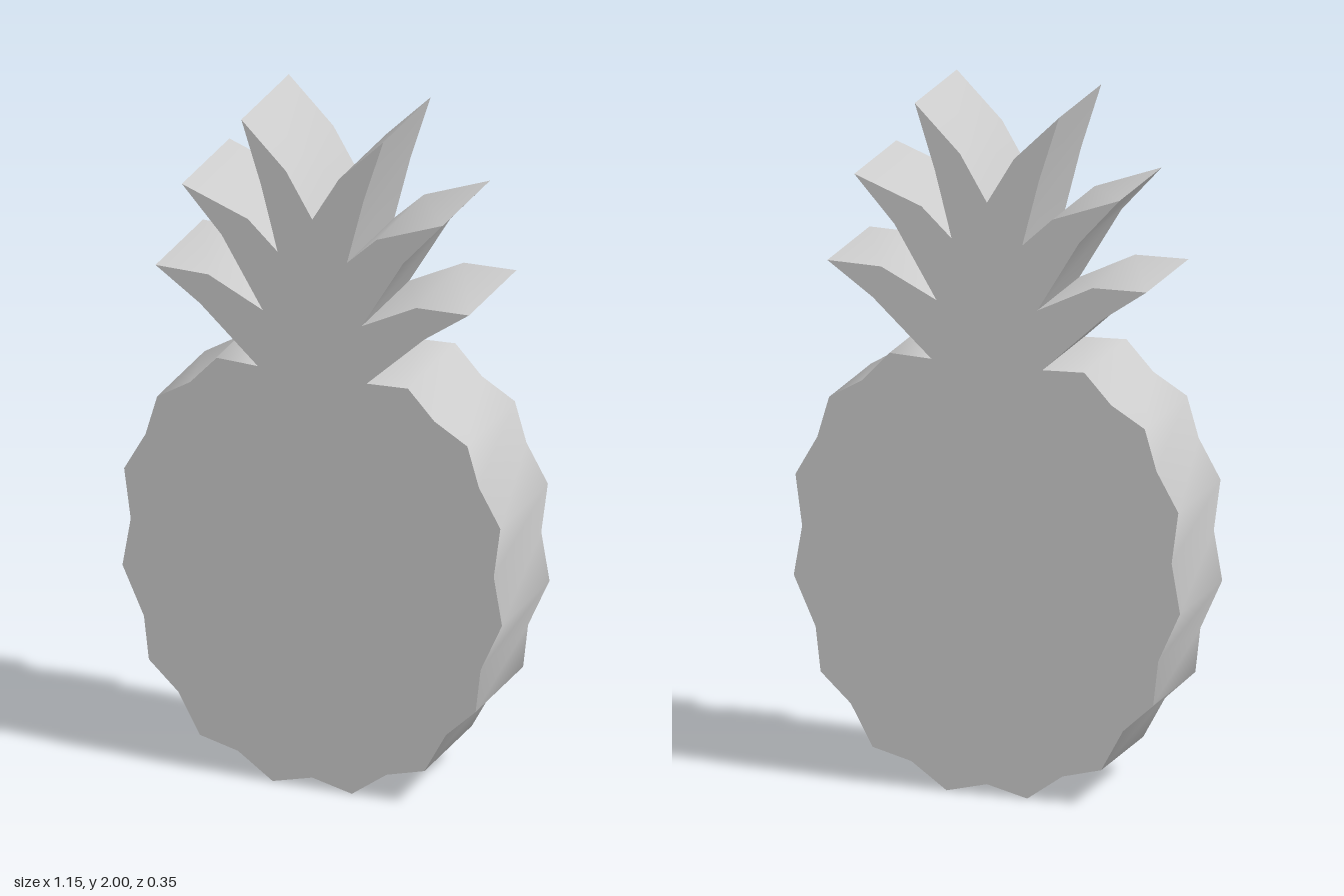
import * as THREE from 'three';
import { toCreasedNormals } from 'three/addons/utils/BufferGeometryUtils.js';

const DEPTH = 0.35;

// Right half of the outline, from bottom centre to top centre
const BODY = [
  [0, 0.03], [0.12, 0], [0.225, 0.075], [0.34, 0.105], [0.405, 0.225],
  [0.495, 0.31], [0.51, 0.44], [0.575, 0.585], [0.55, 0.73], [0.57, 0.88],
  [0.505, 0.995], [0.47, 1.115], [0.37, 1.175], [0.29, 1.262], [0.165, 1.257],
];
// Each leaf: lower edge, tip, upper edge, notch above it
const LEAVES = [
  [0.34, 1.42], [0.475, 1.515], [0.315, 1.512], [0.15, 1.43],
  [0.275, 1.64], [0.395, 1.775], [0.195, 1.7], [0.105, 1.615],
  [0.155, 1.81], [0.215, 2], [0.08, 1.865], [0, 1.73],
];

export function createModel() {
  const group = new THREE.Group();
  group.name = 'pineapple';

  // Mirror the half outline, skipping the two points on the centre line
  const right = [...BODY, ...LEAVES];
  const left = right.slice(1, -1).reverse().map(([x, y]) => [-x, y]);
  const outline = [...right, ...left].map(([x, y]) => new THREE.Vector2(x, y));

  // Solid slab with softly shaded scallops and sharp leaf tips
  const slab = new THREE.ExtrudeGeometry(new THREE.Shape(outline), {
    depth: DEPTH, bevelEnabled: false,
  });
  slab.translate(0, 0, -DEPTH / 2);

  const mesh = new THREE.Mesh(
    toCreasedNormals(slab, THREE.MathUtils.degToRad(52)),
    new THREE.MeshStandardMaterial({ color: 0xcccccc }),
  );
  mesh.name = 'fruitAndCrown';
  group.add(mesh);
  return group;
}
